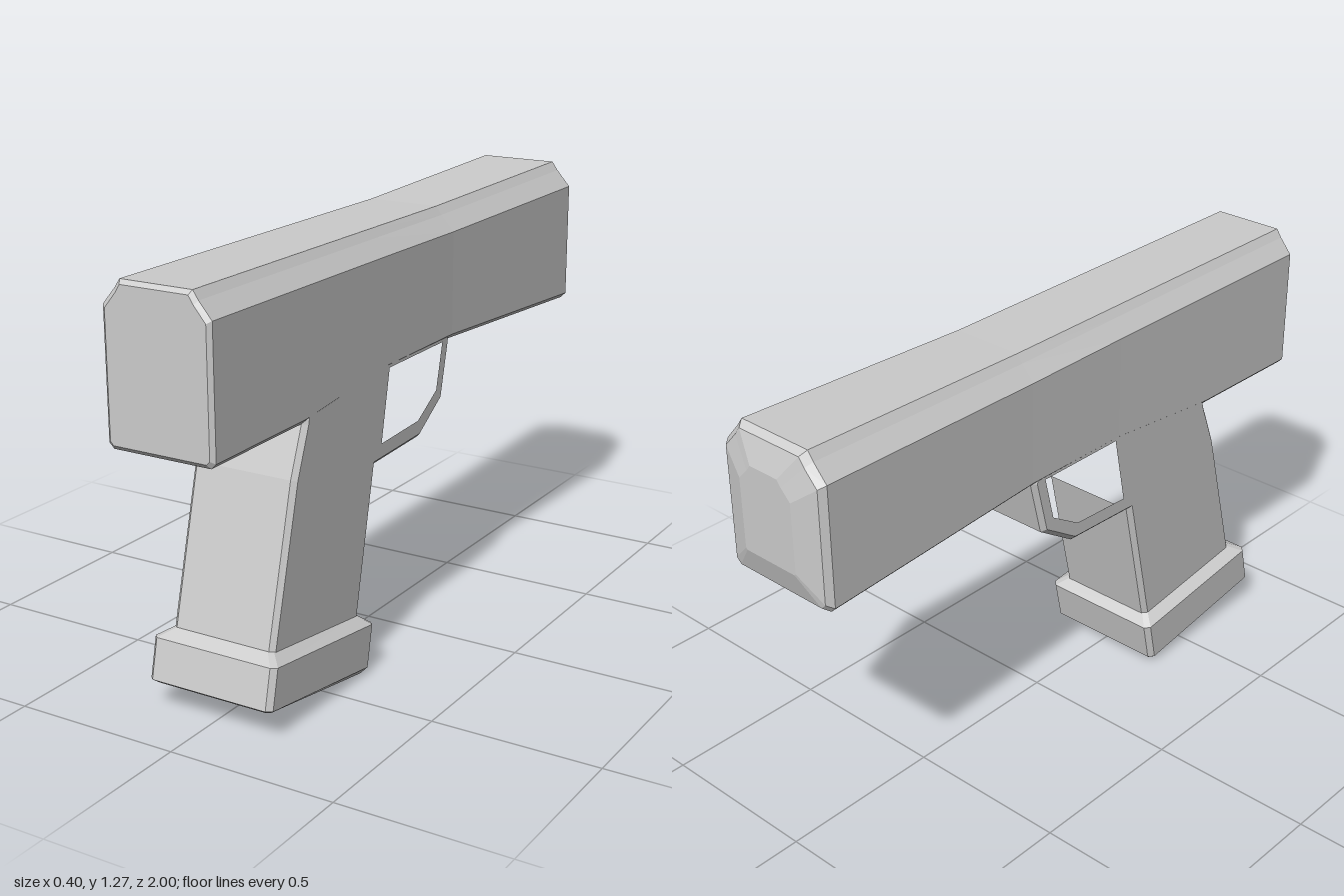
import * as THREE from 'three';

const material = new THREE.MeshStandardMaterial({ color: 0xcccccc, flatShading: true });

// Skin a stack of convex rings (counter-clockwise about the stacking direction) and cap both ends
function loft(rings) {
  const pos = [];
  const tri = (...pts) => pts.forEach((p) => pos.push(...p));
  const n = rings[0].length;
  for (let r = 0; r < rings.length - 1; r++) {
    const a = rings[r], b = rings[r + 1];
    for (let i = 0; i < n; i++) {
      const j = (i + 1) % n;
      tri(a[i], a[j], b[j]);
      tri(a[i], b[j], b[i]);
    }
  }
  const first = rings[0], last = rings[rings.length - 1];
  for (let i = 1; i < n - 1; i++) {
    tri(first[0], first[i + 1], first[i]);
    tri(last[0], last[i], last[i + 1]);
  }
  const geo = new THREE.BufferGeometry();
  geo.setAttribute('position', new THREE.Float32BufferAttribute(pos, 3));
  geo.computeVertexNormals();
  return geo;
}

// Upright body section: half width, bottom, top, top chamfer (x, y), bottom chamfer
function bodyRing([z, w, bottom, top, cx, cy, cb]) {
  const right = [[w - cb, bottom], [w, bottom + cb], [w, top - cy], [w - cx * 0.7, top - cy * 0.35], [w - cx, top]];
  const left = right.map(([x, y]) => [-x, y]).reverse();
  return [...right, ...left].map(([x, y]) => [x, y, z]);
}

// Tilted rectangle with cut corners: rear and front edges given as z, y
function baseRing([zr, yr, zf, yf, w, c]) {
  const pts = [[w, zr - c], [w, zf + c], [w - c, zf], [c - w, zf], [-w, zf + c], [-w, zr - c], [c - w, zr], [w - c, zr]];
  return pts.map(([x, z]) => [x, yf + ((yr - yf) * (z - zf)) / (zr - zf), z]);
}

const points = (list) => list.map(([x, y]) => new THREE.Vector2(x, y));

export function createModel() {
  const group = new THREE.Group();
  const add = (name, geo) => {
    const mesh = new THREE.Mesh(geo, material);
    mesh.name = name;
    group.add(mesh);
  };

  // Long upper body, flaring towards the domed far end
  add('upperBody', loft([
    [-1, 0.095, 0.92, 1.18, 0.045, 0.05, 0.005],
    [-0.975, 0.17, 0.838, 1.255, 0.06, 0.07, 0.015],
    [-0.955, 0.184, 0.824, 1.27, 0.062, 0.075, 0.016],
    [-0.2, 0.168, 0.857, 1.25, 0.058, 0.07, 0.015],
    [0.17, 0.165, 0.853, 1.25, 0.055, 0.07, 0.015],
    [0.59, 0.165, 0.81, 1.25, 0.055, 0.07, 0.015],
    [0.99, 0.165, 0.806, 1.25, 0.055, 0.07, 0.015],
    [1, 0.153, 0.818, 1.238, 0.05, 0.065, 0.01],
  ].map(bodyRing)));

  // Raked grip and the full-width guard loop, drawn from the side
  const profile = new THREE.Shape(points([
    [0.57, 0.9], [0.59, 0.81], [0.645, 0.67], [0.767, 0.2], [0.33, 0.15],
    [0.233, 0.59], [-0.02, 0.6], [-0.152, 0.685], [-0.195, 0.86], [-0.18, 0.9],
  ]));
  profile.holes.push(new THREE.Path(points([
    [0.17, 0.872], [0.217, 0.633], [-0.01, 0.642], [-0.125, 0.712], [-0.162, 0.872],
  ])));
  const bevel = 0.014, halfWidth = 0.1645;
  const gripGeo = new THREE.ExtrudeGeometry(profile, {
    depth: 2 * (halfWidth - bevel),
    bevelThickness: bevel,
    bevelSize: bevel,
    bevelOffset: -bevel,
    bevelSegments: 1,
  });
  gripGeo.translate(0, 0, bevel - halfWidth);
  gripGeo.rotateY(-Math.PI / 2);
  add('gripAndGuard', gripGeo);

  // Wider foot under the grip
  add('gripBase', loft([
    [0.815, 0.077, 0.342, 0, 0.185, 0.012],
    [0.832, 0.09, 0.323, 0.016, 0.2, 0.015],
    [0.806, 0.205, 0.297, 0.14, 0.2, 0.015],
    [0.764, 0.226, 0.33, 0.17, 0.162, 0.012],
  ].map(baseRing)));

  return group;
}
